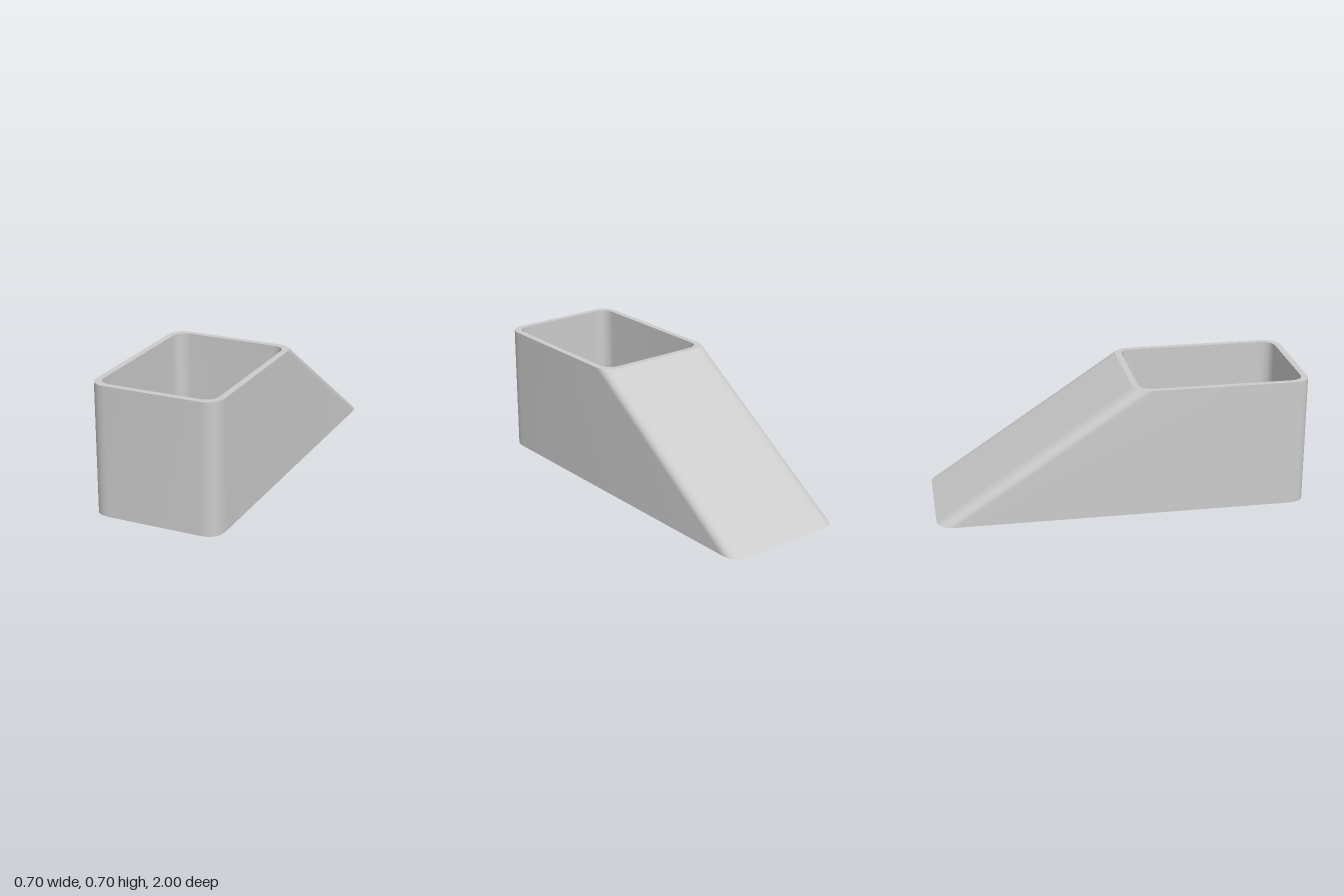
import * as THREE from 'three';
import { toCreasedNormals } from 'three/addons/utils/BufferGeometryUtils.js';

const HEIGHT = 0.7;
const HALF = 0.349;
const WALL = 0.034;
const TOP_BACK = 0.05;

// Rounded rectangle as points (x, z), anticlockwise in the x-z plane
function outline(halfWidth, back, front, r) {
  const s = new THREE.Shape();
  s.moveTo(-halfWidth + r, back);
  s.lineTo(halfWidth - r, back);
  s.quadraticCurveTo(halfWidth, back, halfWidth, back + r);
  s.lineTo(halfWidth, front - r);
  s.quadraticCurveTo(halfWidth, front, halfWidth - r, front);
  s.lineTo(-halfWidth + r, front);
  s.quadraticCurveTo(-halfWidth, front, -halfWidth, front - r);
  s.lineTo(-halfWidth, back + r);
  s.quadraticCurveTo(-halfWidth, back, -halfWidth + r, back);
  return s.getPoints(12).slice(0, -1);
}

// Wall joining a bottom loop to a top loop with the same number of points
function wall(bottom, top, inward) {
  const positions = [];
  const index = [];
  const n = bottom.length;
  bottom.forEach((p, i) => {
    positions.push(p.x, 0, p.y, top[i].x, HEIGHT, top[i].y);
    const b = 2 * i;
    const c = 2 * ((i + 1) % n);
    if (inward) index.push(b, c, b + 1, c, c + 1, b + 1);
    else index.push(b, b + 1, c, c, b + 1, c + 1);
  });
  const g = new THREE.BufferGeometry();
  g.setAttribute('position', new THREE.Float32BufferAttribute(positions, 3));
  g.setIndex(index);
  return toCreasedNormals(g, Math.PI / 6);
}

// Flat face between the outer loop and the opening
function cap(outer, hole, y, up) {
  const flip = up ? -1 : 1;
  const map = (pts) => pts.map((p) => new THREE.Vector2(p.x, flip * p.y));
  const shape = new THREE.Shape(map(outer));
  shape.holes.push(new THREE.Path(map(hole)));
  return new THREE.ShapeGeometry(shape).rotateX((flip * Math.PI) / 2).translate(0, y, 0);
}

export function createModel() {
  const group = new THREE.Group();
  group.name = 'slopedHollowBlock';
  const material = new THREE.MeshStandardMaterial({ color: 0xcccccc });
  const add = (name, geometry) => {
    const mesh = new THREE.Mesh(geometry, material);
    mesh.name = name;
    group.add(mesh);
  };

  const bottom = outline(HALF, -1, 1, 0.1);
  const top = outline(HALF, TOP_BACK, 1, 0.1);
  const hole = outline(HALF - WALL, TOP_BACK + WALL, 1 - WALL, 0.08);

  // Upright sides with the long ramp at the back
  add('outerWall', wall(bottom, top, false));
  // Straight shaft through the block
  add('shaftWall', wall(hole, hole, true));
  add('topRim', cap(top, hole, HEIGHT, true));
  add('base', cap(bottom, hole, 0, false));
  return group;
}
